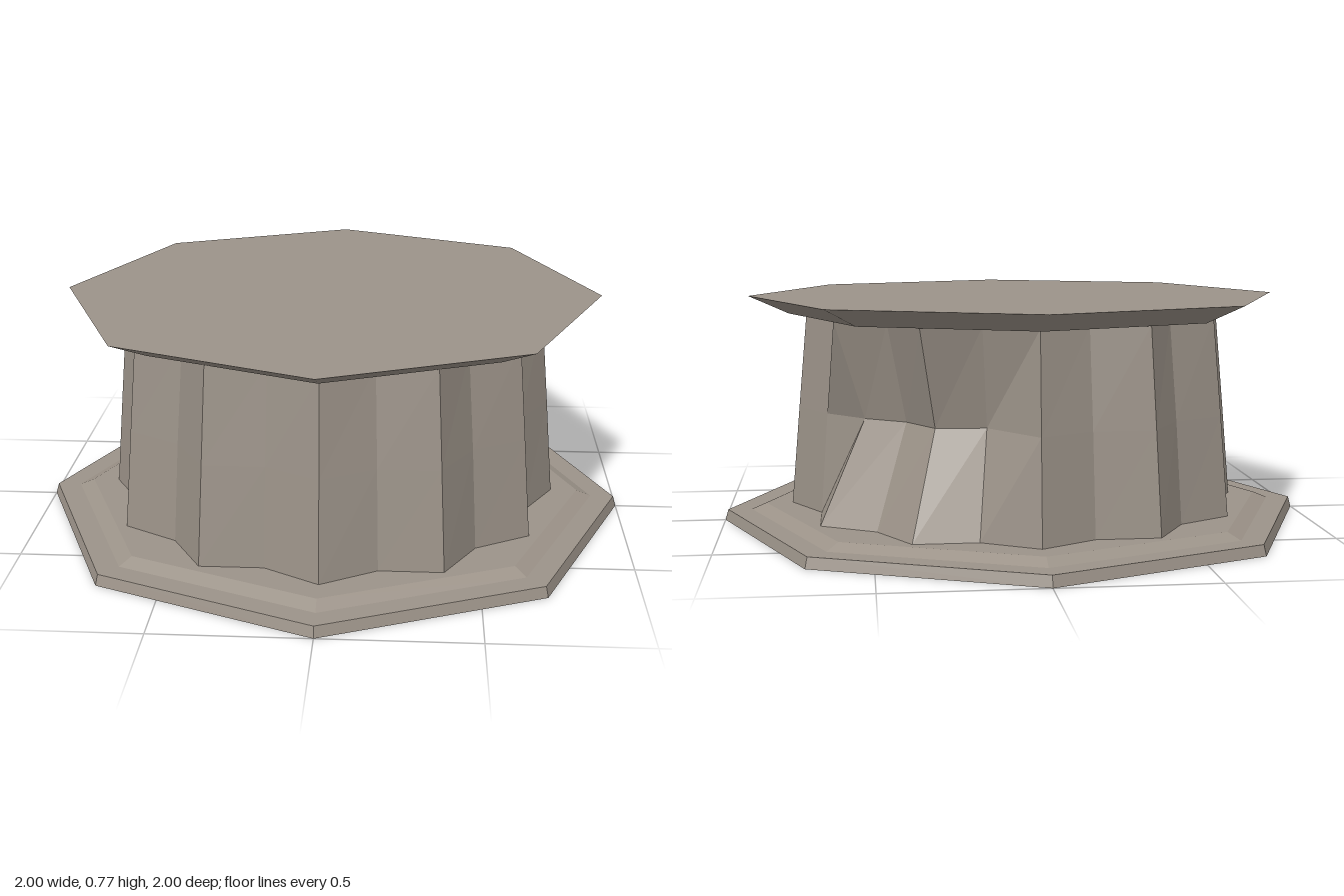
import * as THREE from 'three';

const stone = new THREE.MeshStandardMaterial({ color: 0x9c9389 });
stone.name = 'warm grey stone';

// Flat-faced mesh
function faceted(name, geometry) {
  const g = geometry.index ? geometry.toNonIndexed() : geometry;
  g.computeVertexNormals();
  const mesh = new THREE.Mesh(g, stone);
  mesh.name = name;
  return mesh;
}

// Eight-sided slab from [radius, height] pairs
function octagonSlab(name, profile) {
  const points = profile.map(([r, y]) => new THREE.Vector2(r, y));
  return faceted(name, new THREE.LatheGeometry(points, 8));
}

// Fluted drum: 12 ridges and 12 valleys, with a chipped hollow at mid height
function flutedColumn() {
  const sides = 24;
  const chipped = { 2: 0.6, 3: 0.55, 4: 0.61, 5: 0.56 };
  const levels = [
    { y: 0.057, ridge: 0.77, valley: 0.69 },
    { y: 0.39, ridge: 0.74, valley: 0.665, chipped },
    { y: 0.712, ridge: 0.71, valley: 0.635 },
  ];
  const positions = [];
  const index = [];
  for (const level of levels) {
    for (let i = 0; i < sides; i++) {
      const a = (i / sides) * Math.PI * 2;
      const r = level.chipped?.[i] ?? (i % 2 ? level.valley : level.ridge);
      positions.push(r * Math.cos(a), level.y, -r * Math.sin(a));
    }
  }
  for (let k = 0; k < levels.length - 1; k++) {
    for (let i = 0; i < sides; i++) {
      const j = (i + 1) % sides;
      const a = k * sides + i, b = k * sides + j;
      const c = b + sides, d = a + sides;
      index.push(a, b, c, a, c, d);
    }
  }
  const g = new THREE.BufferGeometry();
  g.setAttribute('position', new THREE.Float32BufferAttribute(positions, 3));
  g.setIndex(index);
  return faceted('flutedColumn', g);
}

export function createModel() {
  const model = new THREE.Group();
  model.name = 'brokenColumnSection';
  model.add(
    octagonSlab('basePlinth', [[0, 0], [1, 0], [0.99, 0.036], [0.91, 0.036], [0.86, 0.057], [0, 0.057]]),
    flutedColumn(),
    octagonSlab('topSlab', [[0, 0.71], [0.77, 0.71], [0.905, 0.77], [0, 0.77]]),
  );
  return model;
}
